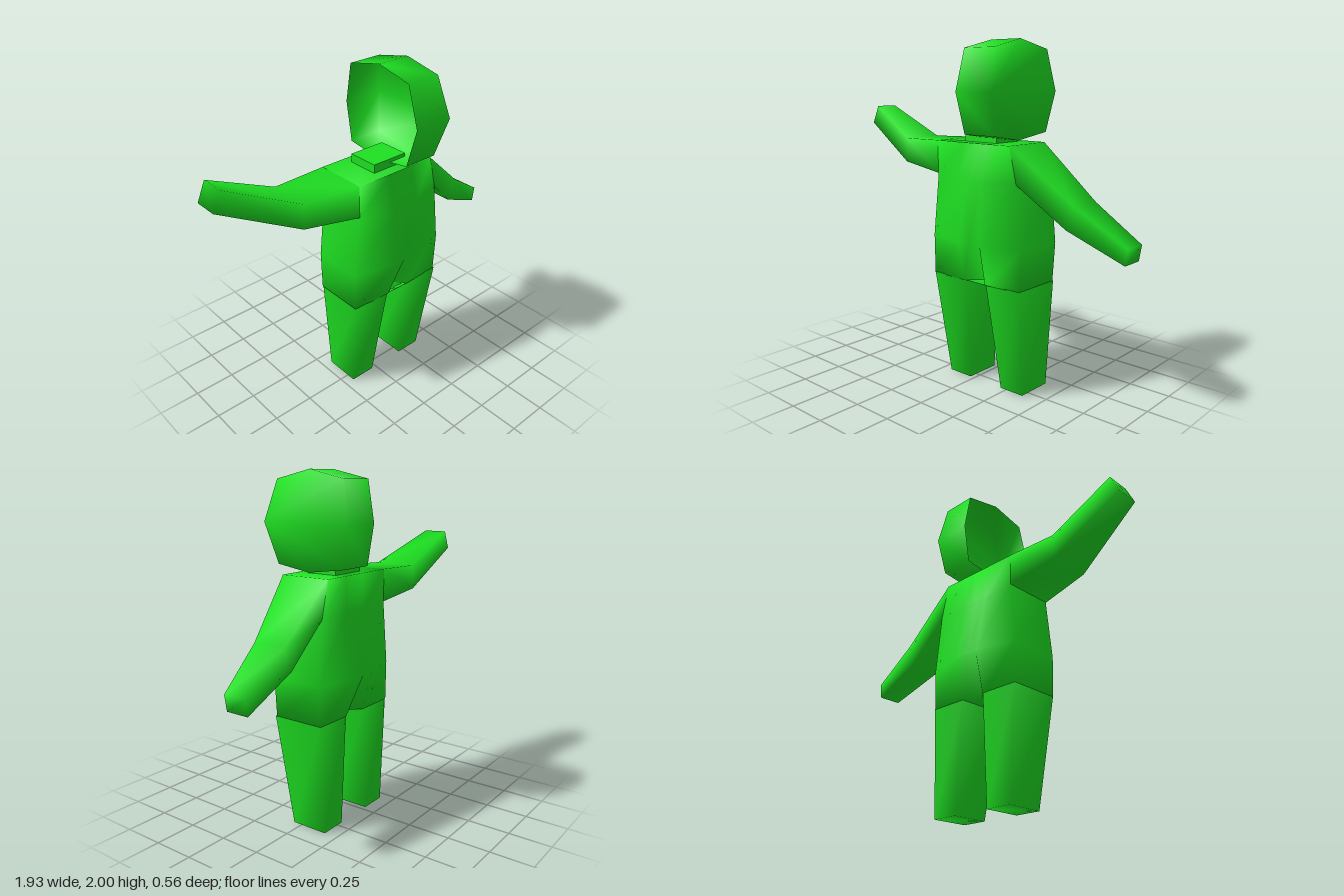
import * as THREE from 'three';

const material = new THREE.MeshStandardMaterial({ color: 0x1ee022, side: THREE.DoubleSide });

// Skin over equal-length loops, each counter-clockwise seen from the far end
function loft(name, loops, capStart, capEnd) {
  const n = loops[0].length, last = (loops.length - 1) * n, index = [];
  for (let i = 0; i < loops.length - 1; i++) {
    for (let j = 0; j < n; j++) {
      const a = i * n + j, b = i * n + (j + 1) % n;
      index.push(a, b, b + n, a, b + n, a + n);
    }
  }
  for (let j = 1; j < n - 1; j++) {
    if (capStart) index.push(0, j + 1, j);
    if (capEnd) index.push(last, last + j, last + j + 1);
  }
  const geometry = new THREE.BufferGeometry();
  geometry.setAttribute('position', new THREE.Float32BufferAttribute(loops.flat(2), 3));
  geometry.setIndex(index);
  geometry.computeVertexNormals();
  const mesh = new THREE.Mesh(geometry, material);
  mesh.name = name;
  return mesh;
}

const MID = 0.09; // centre line of the body
const BACK = -0.168; // flat back of the limbs

// Ten-point torso ring: side, belly and centre depths at front and back
const torsoRing = ([y, x0, x1, sf, mf, cf, mb, cb]) => [
  [x0, y, sf], [MID - 0.08, y, mf], [MID, y, cf], [MID + 0.08, y, mf], [x1, y, sf],
  [x1, y, BACK], [MID + 0.08, y, mb], [MID, y, cb], [MID - 0.08, y, mb], [x0, y, BACK],
];

// Four-point leg ring
const legRing = (y, xa, xb, zf) => {
  const x0 = Math.min(xa, xb), x1 = Math.max(xa, xb);
  return [[x0, y, zf], [x1, y, zf], [x1, y, BACK], [x0, y, BACK]];
};

// Four-point arm ring from its lower and upper edge
const armRing = ([xb, yb, xt, yt, zf]) => [
  [xb, yb, zf], [xb, yb, BACK], [xt, yt, BACK], [xt, yt, zf],
];

export function createModel() {
  const model = new THREE.Group();
  model.name = 'figure';

  // Torso, recessed between the legs
  model.add(loft('torso', [
    [0.645, -0.235, 0.405, 0.14, 0.152, 0.06, -0.17, -0.1],
    [0.88, -0.24, 0.42, 0.14, 0.2, 0.2, -0.23, -0.23],
    [1.24, -0.2, 0.38, 0.14, 0.2, 0.2, -0.17, -0.17],
    [1.44, -0.2, 0.33, 0.145, 0.15, 0.15, -0.168, -0.168],
  ].map(torsoRing), true, true));

  // Legs
  for (const [name, s] of [['rightLeg', -1], ['leftLeg', 1]]) {
    model.add(loft(name, [
      legRing(0.005, MID + s * 0.12, MID + s * 0.28, 0.055),
      legRing(0.65, MID + s * 0.08, MID + s * 0.32, 0.145),
    ], true, false));
  }

  // Raised right arm, from hand to shoulder
  model.add(loft('rightArm', [
    [-0.97, 1.5, -0.92, 1.61, -0.025],
    [-0.53, 1.285, -0.52, 1.43, 0.085],
    [-0.2, 1.25, -0.2, 1.44, 0.142],
  ].map(armRing), true, false));

  // Lowered left arm, from shoulder to hand
  model.add(loft('leftArm', [
    [0.38, 1.235, 0.33, 1.44, 0.142],
    [0.63, 1.01, 0.68, 1.14, 0.035],
    [0.95, 0.86, 0.965, 0.95, -0.03],
  ].map(armRing), false, true));

  // Flat neck block
  const neck = new THREE.Mesh(new THREE.BoxGeometry(0.23, 0.05, 0.19), material);
  neck.position.set(0.075, 1.465, -0.015);
  neck.name = 'neck';
  model.add(neck);

  // Half head: hollow, open on the right, bulging on the left
  const outline = [[0.28, 1.72], [0.21, 1.49], [0, 1.457], [-0.24, 1.49],
    [-0.28, 1.72], [-0.24, 1.95], [-0.01, 2], [0.21, 1.95]];
  model.add(loft('head', [
    outline.map(([z, y]) => [0.073, y, z]),
    outline.map(([z, y]) => [0.32 - 0.15 * Math.abs(y - 1.72), y, z]),
  ], false, true));

  return model;
}
